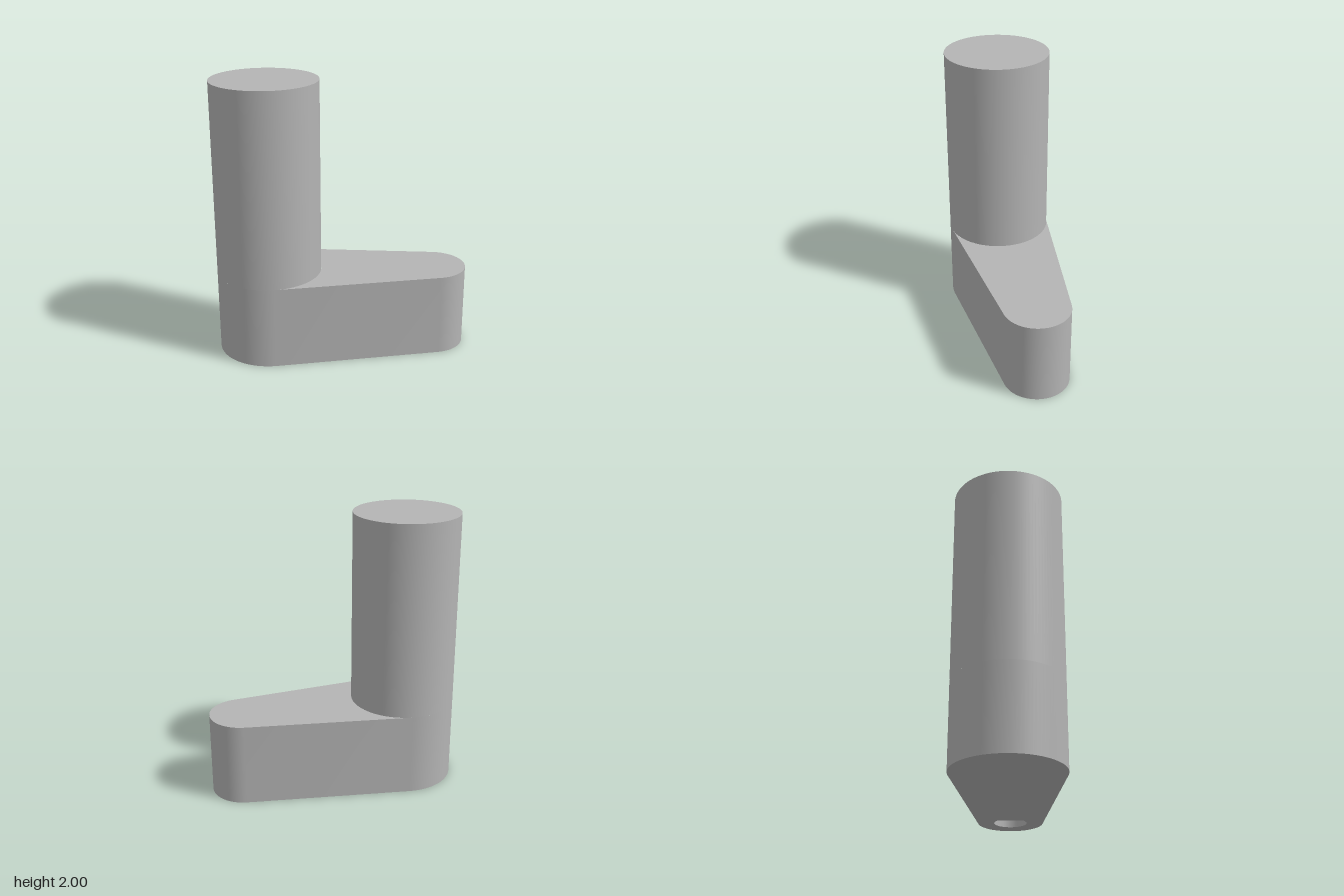
import * as THREE from 'three';
import { toCreasedNormals } from 'three/addons/utils/BufferGeometryUtils.js';

const POST_X = -0.53, POST_R = 0.378;
const TIP_X = 0.67, TIP_R = 0.238;
const ARM_H = 0.6, POST_H = 2;
const HOLE_R = 0.12, HOLE_FLAT = 0.08, HOLE_DEPTH = 0.45;

// Points along an arc in plan (x, -z), counter-clockwise when a1 > a0
function arc(cx, r, a0, a1, n) {
  return Array.from({ length: n + 1 }, (_, i) => {
    const a = a0 + (a1 - a0) * i / n;
    return new THREE.Vector2(cx + r * Math.cos(a), r * Math.sin(a));
  });
}

// Vertical wall around a closed counter-clockwise loop (reversed loop faces inward)
function wall(loop, y0, y1) {
  const pos = [];
  loop.forEach((a, i) => {
    const b = loop[(i + 1) % loop.length];
    pos.push(a.x, y0, -a.y, b.x, y0, -b.y, b.x, y1, -b.y);
    pos.push(a.x, y0, -a.y, b.x, y1, -b.y, a.x, y1, -a.y);
  });
  const g = new THREE.BufferGeometry();
  g.setAttribute('position', new THREE.Float32BufferAttribute(pos, 3));
  return toCreasedNormals(g, 0.5);
}

// Horizontal face facing up or down; every plan is symmetric in z
function face(loop, y, up, hole) {
  const shape = new THREE.Shape(loop);
  if (hole) shape.holes.push(new THREE.Path(hole));
  return new THREE.ShapeGeometry(shape).rotateX(up ? -Math.PI / 2 : Math.PI / 2).translate(0, y, 0);
}

export function createModel() {
  const grey = new THREE.MeshStandardMaterial({ color: 0xb4b4b4 });
  grey.name = 'grey';
  const model = new THREE.Group();
  model.name = 'crankHandle';

  const part = (name, pieces) => {
    const group = new THREE.Group();
    group.name = name;
    for (const [pieceName, geometry] of Object.entries(pieces)) {
      const mesh = new THREE.Mesh(geometry, grey);
      mesh.name = pieceName;
      group.add(mesh);
    }
    model.add(group);
  };

  // Tapered arm: two circles joined by their common tangents
  const t = Math.acos((POST_R - TIP_R) / (TIP_X - POST_X));
  const tip = arc(TIP_X, TIP_R, -t, t, 32);
  const outline = [...tip, ...arc(POST_X, POST_R, t, 2 * Math.PI - t, 48)];
  const deck = [...tip, ...arc(POST_X, POST_R, t, -t, 48)];

  // D-shaped blind socket with its flat toward the post
  const f = Math.acos(-HOLE_FLAT / HOLE_R);
  const socket = arc(TIP_X, HOLE_R, -f, f, 40);

  part('arm', {
    armSide: wall(outline, 0, ARM_H),
    armTop: face(deck, ARM_H, true),
    armBottom: face(outline, 0, false, socket),
  });
  part('shaftSocket', {
    socketWall: wall([...socket].reverse(), 0, HOLE_DEPTH),
    socketEnd: face(socket, HOLE_DEPTH, false),
  });

  // Round upright post above the arm
  const ring = arc(POST_X, POST_R, 0, 2 * Math.PI, 96).slice(0, -1);
  part('post', {
    postSide: wall(ring, ARM_H, POST_H),
    postTop: face(ring, POST_H, true),
  });
  return model;
}
